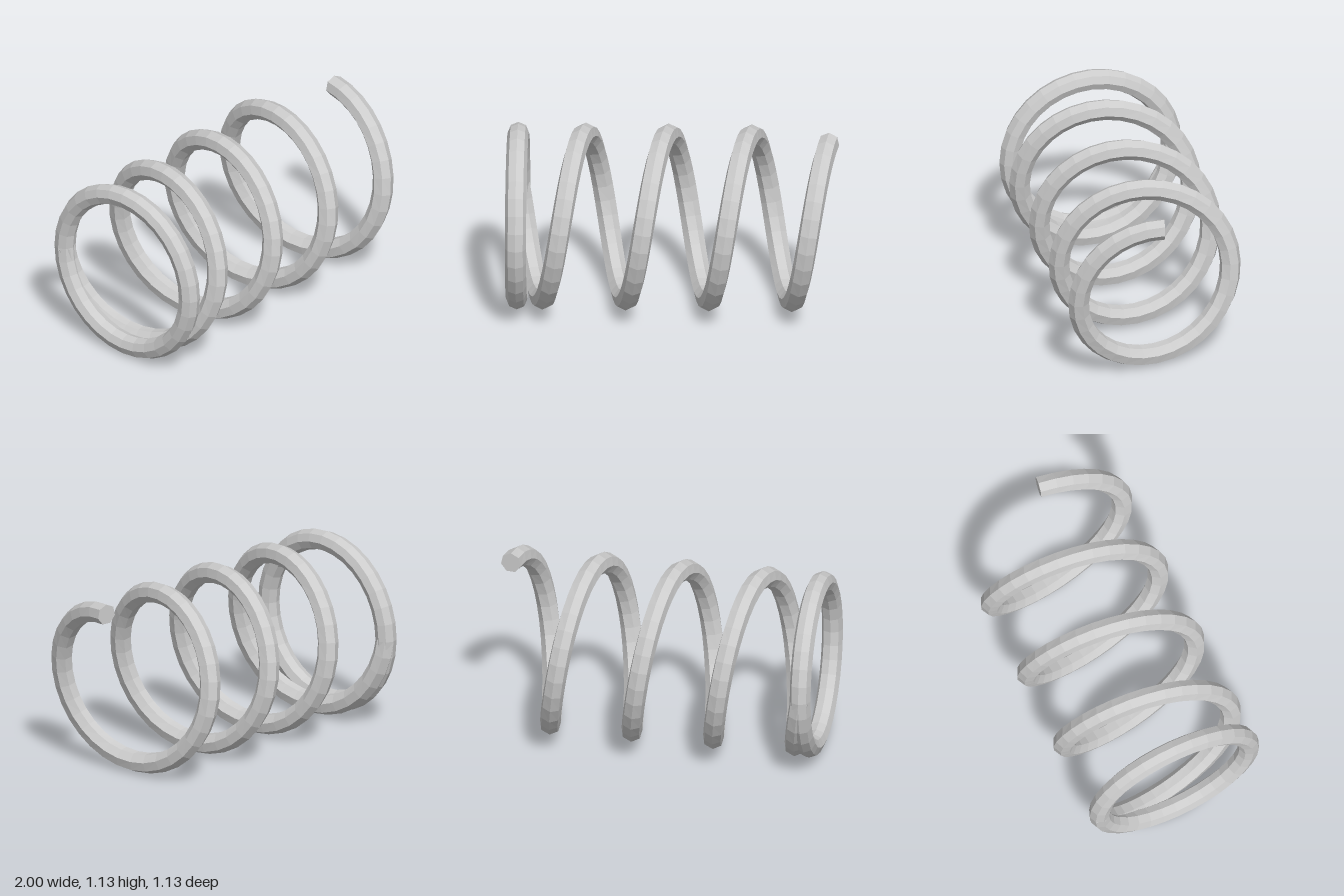
import * as THREE from 'three';

const COIL_RADIUS = 0.5, WIRE_RADIUS = 0.064, CENTRE_Y = 0.565;
const PITCH = 0.5, TURNS = 3.75, END_X = 0.938;
const SIDES = 7, STEPS_PER_TURN = 32;

// Sweeps a seven-sided wire along a helix around x, ending at the top, with both ends capped
function coilGeometry() {
  const steps = TURNS * STEPS_PER_TURN;
  const positions = [], indices = [];
  for (let i = 0; i <= steps; i++) {
    const turn = i / STEPS_PER_TURN - TURNS;
    const phi = turn * Math.PI * 2;
    const normal = new THREE.Vector3(0, Math.cos(phi), -Math.sin(phi));
    const tangent = new THREE.Vector3(PITCH / (Math.PI * 2),
      -Math.sin(phi) * COIL_RADIUS, -Math.cos(phi) * COIL_RADIUS).normalize();
    const side = new THREE.Vector3().crossVectors(tangent, normal);
    const centre = normal.clone().multiplyScalar(COIL_RADIUS);
    centre.x = END_X + turn * PITCH;
    for (let j = 0; j < SIDES; j++) {
      const a = (j / SIDES) * Math.PI * 2;
      const p = centre.clone()
        .addScaledVector(normal, Math.cos(a) * WIRE_RADIUS)
        .addScaledVector(side, Math.sin(a) * WIRE_RADIUS);
      positions.push(p.x, p.y, p.z);
      if (i < steps) {
        const k = (j + 1) % SIDES, r = i * SIDES, s = r + SIDES;
        indices.push(r + j, r + k, s + j, r + k, s + k, s + j);
      }
    }
  }
  const last = steps * SIDES;
  for (let j = 1; j < SIDES - 1; j++) {
    indices.push(0, j + 1, j, last, last + j, last + j + 1);
  }
  const geometry = new THREE.BufferGeometry();
  geometry.setAttribute('position', new THREE.Float32BufferAttribute(positions, 3));
  geometry.setIndex(indices);
  geometry.computeVertexNormals();
  return geometry;
}

export function createModel() {
  const group = new THREE.Group();
  group.name = 'coilSpring';
  const material = new THREE.MeshStandardMaterial({ color: 0xcccccc, flatShading: true });

  // Open coil, running out of the back of the end ring
  const coil = new THREE.Mesh(coilGeometry(), material);
  coil.name = 'coil';
  coil.position.y = CENTRE_Y;
  group.add(coil);

  // Closed flat turn at the right end
  const ring = new THREE.Mesh(
    new THREE.TorusGeometry(COIL_RADIUS, WIRE_RADIUS, 8, STEPS_PER_TURN).rotateY(Math.PI / 2), material);
  ring.name = 'endRing';
  ring.position.set(-0.936, CENTRE_Y, 0);
  group.add(ring);

  return group;
}
